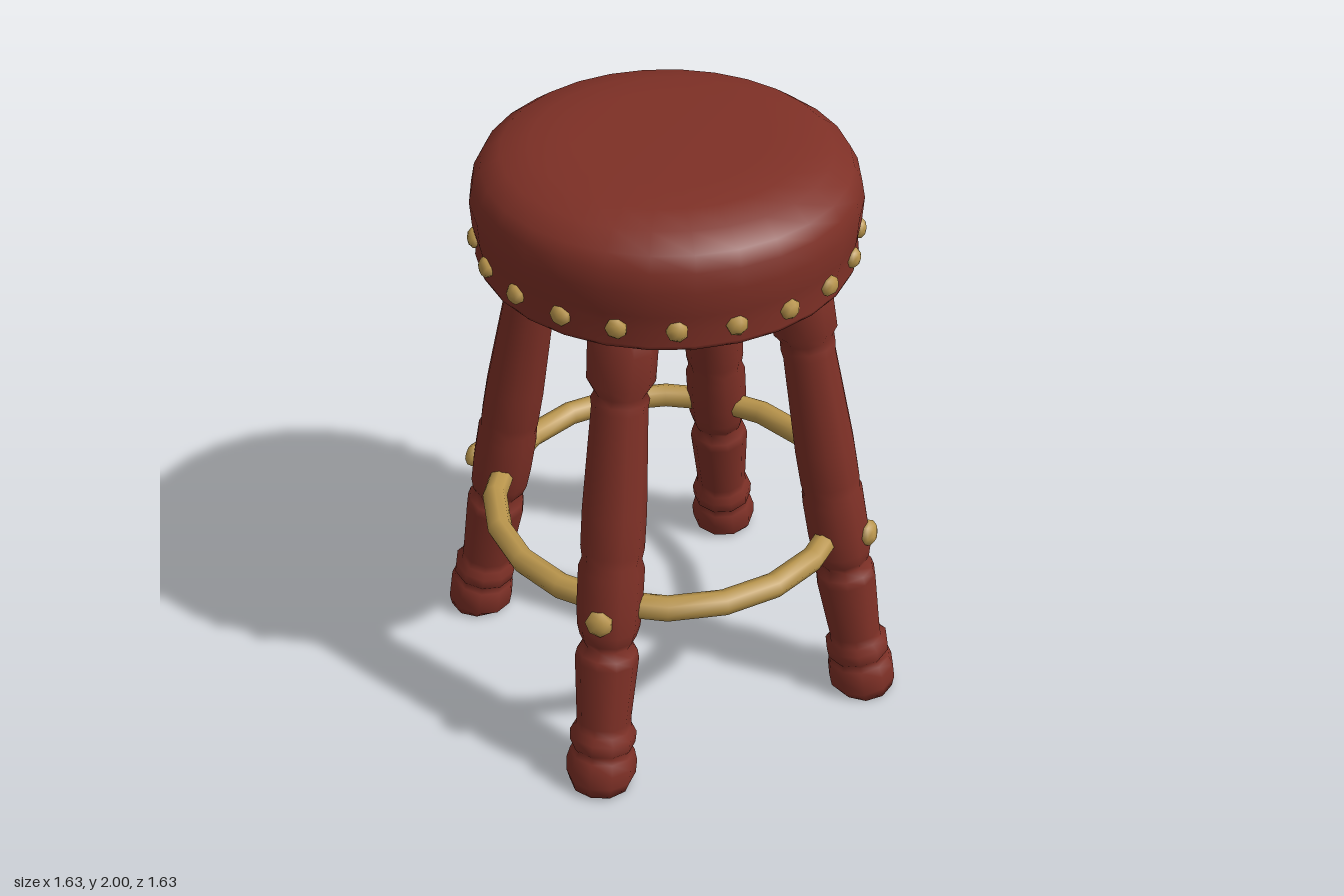
import * as THREE from 'three';

const red = new THREE.MeshStandardMaterial({ color: 0x7e3026 });
red.name = 'oxblood red';
const gold = new THREE.MeshStandardMaterial({ color: 0xb9954c });
gold.name = 'brass gold';

const lathe = (pts, sides) =>
  new THREE.LatheGeometry(pts.map(([r, y]) => new THREE.Vector2(r, y)), sides);

function part(name, geometry, material) {
  const mesh = new THREE.Mesh(geometry, material);
  mesh.name = name;
  return mesh;
}

// Rough faceted nail head, flattened along z
function nailHead(name, radius, depth) {
  const g = new THREE.SphereGeometry(radius, 7, 5);
  g.rotateX(Math.PI / 2);
  g.scale(1, 1, depth / radius);
  return part(name, g, gold);
}

// Turned leg leaning inwards, foot cut flat on the floor
const LEAN = 0.184, FOOT = 0.71;
function legGeometry() {
  const g = lathe([
    [0, -0.01], [0.1, -0.01], [0.113, 0.03], [0.115, 0.08], [0.105, 0.12],
    [0.092, 0.132], [0.106, 0.15], [0.108, 0.19], [0.09, 0.21],
    [0.088, 0.24], [0.102, 0.47], [0.096, 0.5], [0.076, 0.525],
    [0.09, 0.55], [0.1, 0.59], [0.104, 0.67], [0.104, 0.8], [0.094, 0.83],
    [0.1, 0.87], [0.1, 1.0], [0.086, 1.35], [0.09, 1.38], [0.08, 1.4],
    [0.104, 1.44], [0.106, 1.55], [0.1, 1.74], [0, 1.74],
  ], 10);
  g.rotateX(-LEAN);
  g.translate(0, 0, FOOT);
  const p = g.attributes.position;
  for (let i = 0; i < p.count; i++) p.setY(i, Math.max(0, p.getY(i)));
  return g;
}

export function createModel() {
  const model = new THREE.Group();
  model.name = 'stool';

  // Padded seat with a shallow recess underneath
  model.add(part('seat', lathe([
    [0, 1.65], [0.53, 1.65], [0.53, 1.65], [0.55, 1.625], [0.55, 1.625], [0.582, 1.625],
    [0.588, 1.64], [0.582, 1.69], [0.592, 1.74], [0.597, 1.82], [0.585, 1.88],
    [0.56, 1.925], [0.5, 1.967], [0.41, 1.988], [0.29, 2.0], [0, 2.0],
  ], 28), red));

  // Nail heads around the seat rim
  const studs = new THREE.Group();
  studs.name = 'seatStuds';
  const COUNT = 21;
  for (let i = 0; i < COUNT; i++) {
    const a = 0.06 + (i / COUNT) * Math.PI * 2;
    const stud = nailHead('seatStud', 0.034, 0.024);
    stud.position.set(Math.sin(a) * 0.586, 1.692, Math.cos(a) * 0.586);
    stud.rotation.y = a;
    studs.add(stud);
  }
  model.add(studs);

  // Four legs, each with a bolt on its outer face
  const geometry = legGeometry();
  ['frontLeg', 'leftLeg', 'backLeg', 'rightLeg'].forEach((name, i) => {
    const leg = new THREE.Group();
    leg.name = name;
    leg.add(part('turnedPost', geometry, red));
    const bolt = nailHead('legBolt', 0.046, 0.03);
    bolt.position.set(0, 0.655, 0.69);
    bolt.rotation.x = -LEAN;
    leg.add(bolt);
    leg.rotation.y = i * Math.PI / 2;
    model.add(leg);
  });

  // Round foot rail joining the legs
  const rail = part('footRail', new THREE.TorusGeometry(0.575, 0.041, 8, 20), gold);
  rail.rotation.x = Math.PI / 2;
  rail.position.y = 0.645;
  model.add(rail);

  return model;
}
